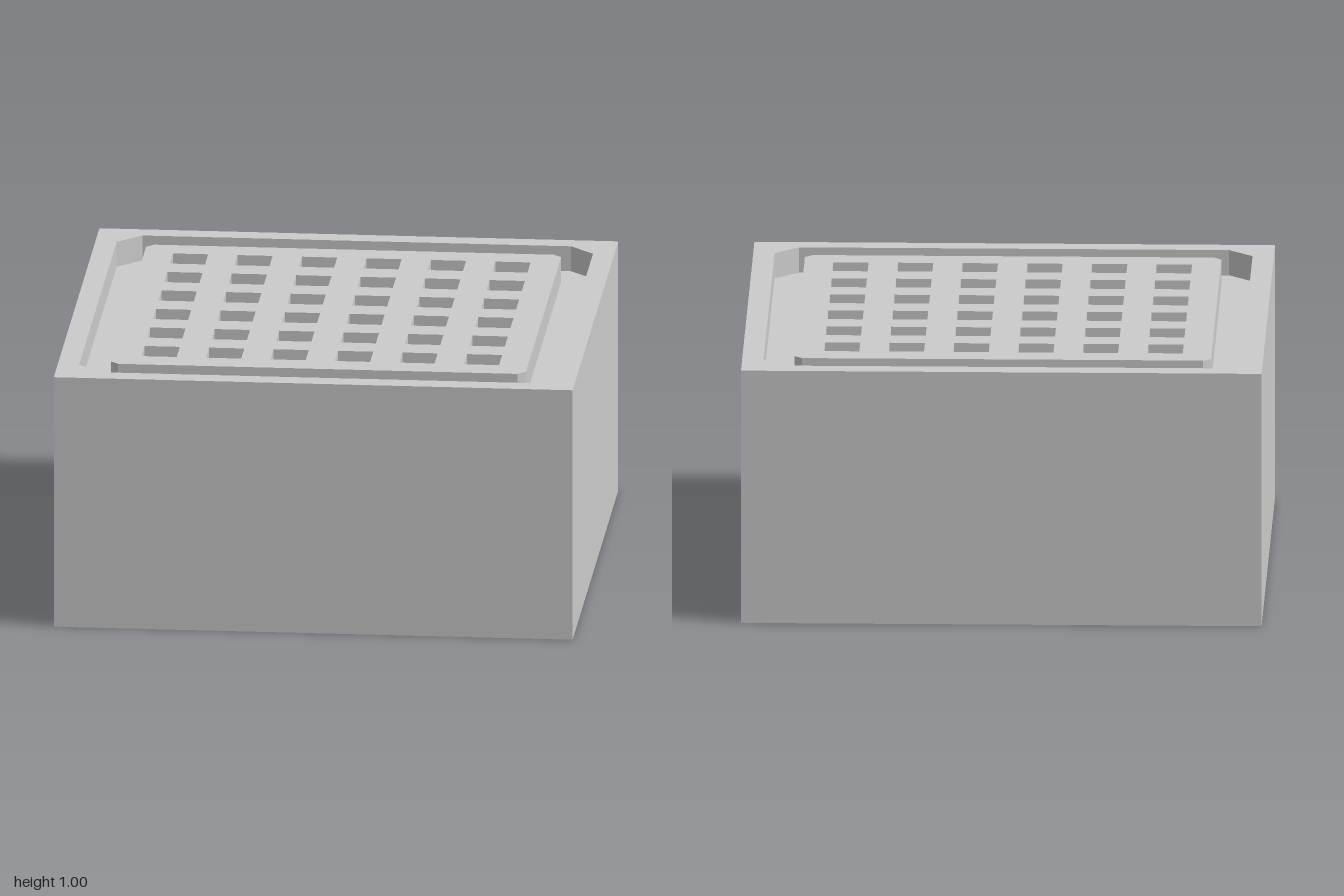
import * as THREE from 'three';

const HEIGHT = 1;
const FLOOR = 0.9; // level of the groove and pocket floors
const material = new THREE.MeshStandardMaterial({ color: 0xcccccc, flatShading: true });

// Counter-clockwise square outline of half-size r, corners cut by c
function outline(r, c = 0, cx = 0, cy = 0) {
  const k = r - c;
  const pts = c > 0
    ? [[k, -r], [r, -k], [r, k], [k, r], [-k, r], [-r, k], [-r, -k], [-k, -r]]
    : [[r, -r], [r, r], [-r, r], [-r, -r]];
  return pts.map(([x, y]) => new THREE.Vector2(x + cx, y + cy));
}

// Flat horizontal face at height y, with optional openings
function face(name, pts, y, holes = [], up = true) {
  const shape = new THREE.Shape(pts);
  shape.holes = holes.map((h) => new THREE.Path(h));
  const geometry = new THREE.ShapeGeometry(shape);
  geometry.rotateX(up ? -Math.PI / 2 : Math.PI / 2).translate(0, y, 0);
  const mesh = new THREE.Mesh(geometry, material);
  mesh.name = name;
  return mesh;
}

// Vertical walls along a closed outline, facing outward or inward
function walls(name, pts, y0, y1, inward = false) {
  const loop = inward ? [...pts].reverse() : pts;
  const positions = [];
  loop.forEach((p, i) => {
    const q = loop[(i + 1) % loop.length];
    positions.push(p.x, y0, -p.y, q.x, y0, -q.y, q.x, y1, -q.y);
    positions.push(p.x, y0, -p.y, q.x, y1, -q.y, p.x, y1, -p.y);
  });
  const geometry = new THREE.BufferGeometry();
  geometry.setAttribute('position', new THREE.Float32BufferAttribute(positions, 3));
  geometry.computeVertexNormals();
  const mesh = new THREE.Mesh(geometry, material);
  mesh.name = name;
  return mesh;
}

export function createModel() {
  const model = new THREE.Group();
  model.name = 'gratedBlock';

  const block = outline(1);
  const grooveOuter = outline(0.918, 0.092);
  const plate = outline(0.8, 0.03);

  // Block with a flat rim
  model.add(
    walls('blockSides', block, 0, HEIGHT),
    face('blockBottom', block, 0, [], false),
    face('rim', block, HEIGHT, [grooveOuter]),
  );

  // Groove running around the plate
  model.add(
    walls('grooveOuterWall', grooveOuter, FLOOR, HEIGHT, true),
    walls('grooveInnerWall', plate, FLOOR, HEIGHT),
    face('grooveFloor', grooveOuter, FLOOR, [plate]),
  );

  // Plate with a six by six grid of square pockets
  const pockets = [];
  for (let i = 0; i < 6; i++) {
    for (let j = 0; j < 6; j++) {
      pockets.push(outline(0.068, 0, (i - 2.5) * 0.2485, (j - 2.5) * 0.2485));
    }
  }
  model.add(face('plateTop', plate, HEIGHT, pockets));
  for (const pocket of pockets) {
    const group = new THREE.Group();
    group.name = 'pocket';
    group.add(
      walls('pocketWalls', pocket, FLOOR, HEIGHT, true),
      face('pocketFloor', pocket, FLOOR),
    );
    model.add(group);
  }
  return model;
}
